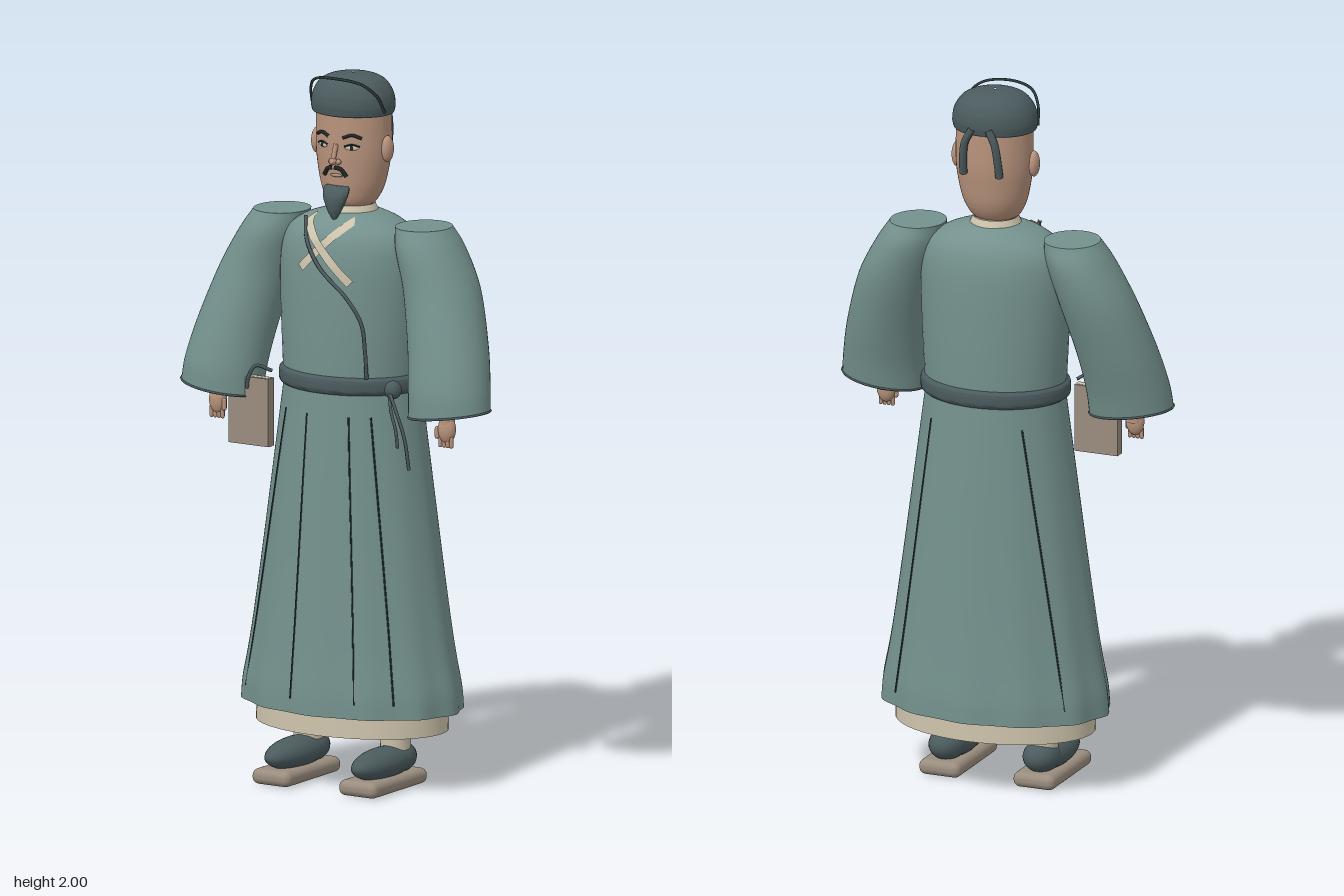
import * as THREE from 'three';
import { toCreasedNormals } from 'three/addons/utils/BufferGeometryUtils.js';
import { RoundedBoxGeometry } from 'three/addons/geometries/RoundedBoxGeometry.js';

const mat = (name, color, side = THREE.FrontSide) =>
  Object.assign(new THREE.MeshStandardMaterial({ color, side }), { name });
const V = (x, y, z) => new THREE.Vector3(x, y, z);

// Rings are [y, centreX, centreZ, radiusX, radiusZ], listed from bottom to top.
const TORSO = [
  [1.12, 0, 0, 0.2, 0.162], [1.2, 0, 0, 0.205, 0.163], [1.35, 0, 0, 0.213, 0.16], [1.48, 0, 0, 0.214, 0.153],
  [1.55, 0, 0, 0.195, 0.138], [1.59, 0, 0, 0.145, 0.11], [1.615, 0, 0, 0.075, 0.07],
];
const SKIRT = [
  [0.22, 0, 0, 0.332, 0.226], [0.28, 0, 0, 0.327, 0.224], [0.36, 0, 0, 0.311, 0.217], [0.46, 0, 0, 0.294, 0.209],
  [0.65, 0, 0, 0.266, 0.196], [0.9, 0, 0, 0.231, 0.18], [1.14, 0, 0, 0.198, 0.163],
];
const HEAD = [
  [1.625, 0, 0.005, 0.045, 0.045], [1.64, 0, 0.003, 0.069, 0.066], [1.68, 0, -0.003, 0.09, 0.081],
  [1.74, 0, -0.006, 0.104, 0.089], [1.8, 0, -0.008, 0.11, 0.094], [1.91, 0, -0.008, 0.109, 0.094],
];

// Smooth surface through elliptical rings; optional folds, cuff tilt and end caps.
function loft(rings, { seg = 48, sub = 5, folds = 0, tilt = 0, top = false, bottom = false } = {}) {
  const centres = new THREE.CatmullRomCurve3(rings.map(r => V(r[1], r[0], r[2])), false, 'catmullrom');
  const radii = new THREE.CatmullRomCurve3(rings.map(r => V(r[3], r[4], 0)), false, 'catmullrom');
  const n = (rings.length - 1) * sub, rows = [];
  for (let i = 0; i <= n; i++) {
    const c = centres.getPoint(i / n), r = radii.getPoint(i / n), k = 1 - i / n;
    rows.push([c, r.x, r.y, k]);
  }
  if (bottom) rows.unshift([rows[0][0], 0, 0, 0]);
  if (top) rows.push([rows[rows.length - 1][0], 0, 0, 0]);
  const pos = [], idx = [];
  rows.forEach(([c, rx, rz, k], i) => {
    for (let j = 0; j < seg; j++) {
      const a = j / seg * Math.PI * 2, w = 1 + folds * k * Math.cos(12 * a);
      pos.push(c.x + rx * w * Math.sin(a), c.y + tilt * k * k * Math.sin(a), c.z + rz * w * Math.cos(a));
      if (i === rows.length - 1) continue;
      const p = i * seg + j, q = i * seg + (j + 1) % seg;
      idx.push(p, q, p + seg, q, q + seg, p + seg);
    }
  });
  const g = new THREE.BufferGeometry();
  g.setAttribute('position', new THREE.Float32BufferAttribute(pos, 3));
  g.setIndex(idx);
  return toCreasedNormals(g, 0.8);
}

// Front surface depth of a set of rings at x, y.
function frontZ(rings, x, y) {
  let i = 0;
  while (i < rings.length - 2 && y > rings[i + 1][0]) i++;
  const a = rings[i], b = rings[i + 1];
  const t = THREE.MathUtils.clamp((y - a[0]) / (b[0] - a[0]), 0, 1);
  const [, , cz, rx, rz] = a.map((v, k) => v + (b[k] - v) * t);
  return cz + rz * Math.sqrt(Math.max(0, 1 - (x / rx) ** 2));
}

const cord = (pts, r, n = 28) =>
  new THREE.TubeGeometry(new THREE.CatmullRomCurve3(pts.map(p => V(...p))), n, r, 6);

// Flat band lying on the chest between two points.
function chestBand(x0, y0, x1, y1, half, lift) {
  const g = new THREE.PlaneGeometry(1, 1, 16, 2), p = g.attributes.position;
  const d = new THREE.Vector2(x1 - x0, y1 - y0), nrm = new THREE.Vector2(-d.y, d.x).normalize();
  for (let i = 0; i < p.count; i++) {
    const t = p.getX(i) + 0.5, s = p.getY(i) * 2 * half;
    const x = x0 + d.x * t + nrm.x * s, y = y0 + d.y * t + nrm.y * s;
    p.setXYZ(i, x, y, frontZ(TORSO, x, y) + lift);
  }
  g.computeVertexNormals();
  return g;
}

export function createModel() {
  const robe = mat('robe teal', 0x74918d, THREE.DoubleSide);
  const dark = mat('dark teal', 0x4b5b5e);
  const line = mat('seam', 0x2c3a3c);
  const skin = mat('skin', 0xb8937c);
  const cream = mat('cream', 0xcdc3ac, THREE.DoubleSide);
  const taupe = mat('taupe', 0x9a8d7e);
  const hair = mat('hair', 0x20262a);
  const model = new THREE.Group();
  const add = (name, geo, m, x = 0, y = 0, z = 0, s = [1, 1, 1], parent = model) => {
    const mesh = new THREE.Mesh(geo, m);
    mesh.name = name;
    mesh.position.set(x, y, z);
    mesh.scale.set(...s);
    parent.add(mesh);
    return mesh;
  };
  const ball = new THREE.SphereGeometry(1, 24, 16);

  // Robe body and hem
  add('torso', loft(TORSO, { top: true }), robe);
  add('skirt', loft(SKIRT, { seg: 96, folds: 0.016 }), robe);
  add('underRobe', loft([[0.16, 0, 0, 0.29, 0.2], [0.3, 0, 0, 0.285, 0.196]], { bottom: true, top: true }), cream);

  // Skirt pleat lines, front and back
  for (const [xt, xb] of [[-0.135, -0.265], [-0.045, -0.065], [0.085, 0.135], [0.14, 0.235]])
    for (const side of [1, -1]) {
      if (side < 0 && Math.abs(xt) < 0.1) continue;
      const pts = [];
      for (let i = 0; i <= 8; i++) {
        const y = 1.06 - 0.8 * i / 8, x = xt + (xb - xt) * i / 8;
        pts.push([x, y, side * frontZ(SKIRT, x, y)]);
      }
      add('pleatLine', cord(pts, 0.0025), line);
    }

  // Crossed collar and overlap seam
  add('innerCollar', chestBand(0.062, 1.6, -0.075, 1.465, 0.012, 0.006), cream);
  add('outerCollar', chestBand(-0.085, 1.6, 0.088, 1.435, 0.012, 0.011), cream);
  add('neckBand', new THREE.CylinderGeometry(0.063, 0.077, 0.03, 32, 1, true), cream, 0, 1.618, 0);
  add('overlapSeam', cord([[-0.09, 1.6, 0.1], [-0.06, 1.54, 0.14], [0, 1.47, 0.165], [0.085, 1.4, 0.168],
    [0.13, 1.33, 0.16], [0.135, 1.25, 0.148], [0.132, 1.17, 0.135]], 0.0055, 40), dark);

  // Belt, knot and hanging cords
  add('belt', loft([[1.12, 0, 0, 0.203, 0.166], [1.13, 0, 0, 0.213, 0.174], [1.16, 0, 0, 0.213, 0.174],
    [1.17, 0, 0, 0.203, 0.166]], { top: true, bottom: true }), dark);
  add('beltKnot', ball, dark, 0.203, 1.143, 0.11, [0.024, 0.026, 0.024]);
  add('beltCord', cord([[0.2, 1.14, 0.125], [0.235, 1.1, 0.15], [0.265, 1.02, 0.15], [0.274, 0.93, 0.14]], 0.005), dark);
  add('beltCord', cord([[0.2, 1.14, 0.125], [0.222, 1.09, 0.15], [0.24, 1.04, 0.155], [0.243, 0.99, 0.15]], 0.005), dark);

  // Book hanging at the right hip
  add('bookCover', new THREE.BoxGeometry(0.13, 0.192, 0.03), taupe, -0.257, 1.036, 0.118);
  add('bookPages', new THREE.BoxGeometry(0.122, 0.194, 0.02), cream, -0.254, 1.036, 0.118);
  add('bookCord', cord([[-0.2, 1.15, 0.1], [-0.235, 1.165, 0.13], [-0.255, 1.13, 0.136], [-0.26, 1.1, 0.136]], 0.005), dark);

  for (const s of [1, -1]) {
    // Sleeve with open, tilted cuff
    const sleeve = [[1.09, 0.372 * s, 0.085, 0.12, 0.098], [1.16, 0.365 * s, 0.075, 0.118, 0.104],
      [1.27, 0.344 * s, 0.048, 0.114, 0.108], [1.42, 0.301 * s, 0.012, 0.107, 0.11],
      [1.53, 0.256 * s, 0, 0.094, 0.106], [1.59, 0.232 * s, -0.003, 0.078, 0.085]];
    add('sleeve', loft(sleeve, { tilt: 0.016 * s, top: true }), robe);
    const cuff = new THREE.TorusGeometry(1, 0.035, 6, 48).rotateX(Math.PI / 2);
    add('cuffTrim', cuff, dark, 0.372 * s, 1.09, 0.085, [0.12, 0.1, 0.098]).rotation.z = 0.13 * s;

    // Hand and fingers
    add('wrist', new THREE.CylinderGeometry(0.02, 0.022, 0.1, 16), skin, 0.375 * s, 1.1, 0.1);
    add('palm', ball, skin, 0.375 * s, 1.05, 0.103, [0.027, 0.04, 0.02]);
    for (let i = 0; i < 4; i++)
      add('finger', new THREE.CapsuleGeometry(0.006, 0.025, 4, 8), skin, (0.375 + (i - 1.5) * 0.012) * s, 1.017, 0.108);
    add('thumb', new THREE.CapsuleGeometry(0.007, 0.022, 4, 8), skin, 0.349 * s, 1.04, 0.112);

    // Leg, shoe and sole
    add('leg', new THREE.CylinderGeometry(0.046, 0.042, 0.14, 24), cream, 0.142 * s, 0.17, 0.002);
    add('shoe', ball, dark, 0.142 * s, 0.075, 0.068, [0.057, 0.044, 0.137]);
    add('shoeHeel', ball, dark, 0.142 * s, 0.08, -0.005, [0.052, 0.045, 0.065]);
    add('sole', new RoundedBoxGeometry(0.125, 0.044, 0.282, 4, 0.02), taupe, 0.142 * s, 0.022, 0.066);

    // Ear, eye and brow
    add('ear', ball, skin, 0.115 * s, 1.795, 0, [0.016, 0.037, 0.021]);
    const fz = (x, y) => frontZ(HEAD, x, y);
    add('eyeWhite', ball, cream, 0.047 * s, 1.803, fz(0.047, 1.803), [0.019, 0.007, 0.004]).rotation.y = 0.4 * s;
    add('pupil', ball, hair, 0.047 * s, 1.803, fz(0.047, 1.803) + 0.003, [0.006, 0.0065, 0.003]);
    const arc = (x0, x1, y0, rise, lift) => [0, 0.5, 1].map(t => {
      const x = (x0 + (x1 - x0) * t) * s, y = y0 + rise * Math.sin(t * Math.PI);
      return [x, y, fz(x, y) + lift];
    });
    add('eyelid', cord(arc(0.027, 0.068, 1.806, 0.006, 0.002), 0.0025, 10), hair);
    add('eyebrow', cord(arc(0.023, 0.072, 1.83, 0.009, 0.002), 0.005, 10), hair);
    add('moustache', cord([[0.002 * s, 1.746, 0.096], [0.02 * s, 1.743, 0.094], [0.036 * s, 1.722, 0.088]], 0.006, 10), hair);
    add('nostril', ball, skin, 0.011 * s, 1.762, 0.092, [0.009, 0.008, 0.01]);

    // Ribbon hanging at the back of the hat
    const ribbon = cord([[0.025 * s, 1.91, -0.108], [0.045 * s, 1.87, -0.112], [0.052 * s, 1.82, -0.108],
      [0.054 * s, 1.775, -0.1]], 0.011);
    add('hatRibbon', ribbon, dark);
  }

  // Head, neck and face
  add('head', loft(HEAD, { bottom: true, top: true }), skin);
  add('neck', new THREE.CylinderGeometry(0.056, 0.06, 0.12, 32), skin, 0, 1.63, 0.002);
  add('noseBridge', cord([[0, 1.81, 0.085], [0, 1.785, 0.094], [0, 1.763, 0.102]], 0.008, 10), skin);
  add('noseTip', ball, skin, 0, 1.764, 0.101, [0.011, 0.01, 0.013]);
  add('mouth', ball, taupe, 0, 1.722, 0.084, [0.02, 0.005, 0.006]);
  add('beard', loft([[1.6, 0, 0.094, 0.006, 0.006], [1.625, 0, 0.093, 0.022, 0.016], [1.66, 0, 0.09, 0.037, 0.021],
    [1.685, 0, 0.082, 0.041, 0.016], [1.692, 0, 0.078, 0.036, 0.01]], { seg: 20, top: true, bottom: true }), dark);

  // Soft cap with a thin brim cord arching over the front
  add('hat', loft([[1.89, 0, -0.004, 0.117, 0.102], [1.91, 0, -0.004, 0.121, 0.107], [1.945, 0, -0.004, 0.115, 0.103],
    [1.978, 0, -0.004, 0.092, 0.084], [1.994, 0, -0.004, 0.055, 0.052], [1.999, 0, -0.004, 0.004, 0.004]], { bottom: true }), dark);
  add('hatBand', new THREE.TorusGeometry(1, 0.045, 8, 48).rotateX(Math.PI / 2), dark, 0, 1.896, -0.004, [0.114, 0.14, 0.1]);
  add('hatArchCord', cord([[-0.119, 1.9, 0.02], [-0.108, 1.95, 0.045], [-0.075, 1.985, 0.075], [0, 1.996, 0.092],
    [0.075, 1.985, 0.075], [0.108, 1.95, 0.045], [0.119, 1.9, 0.02]], 0.004, 40), line);

  return model;
}
